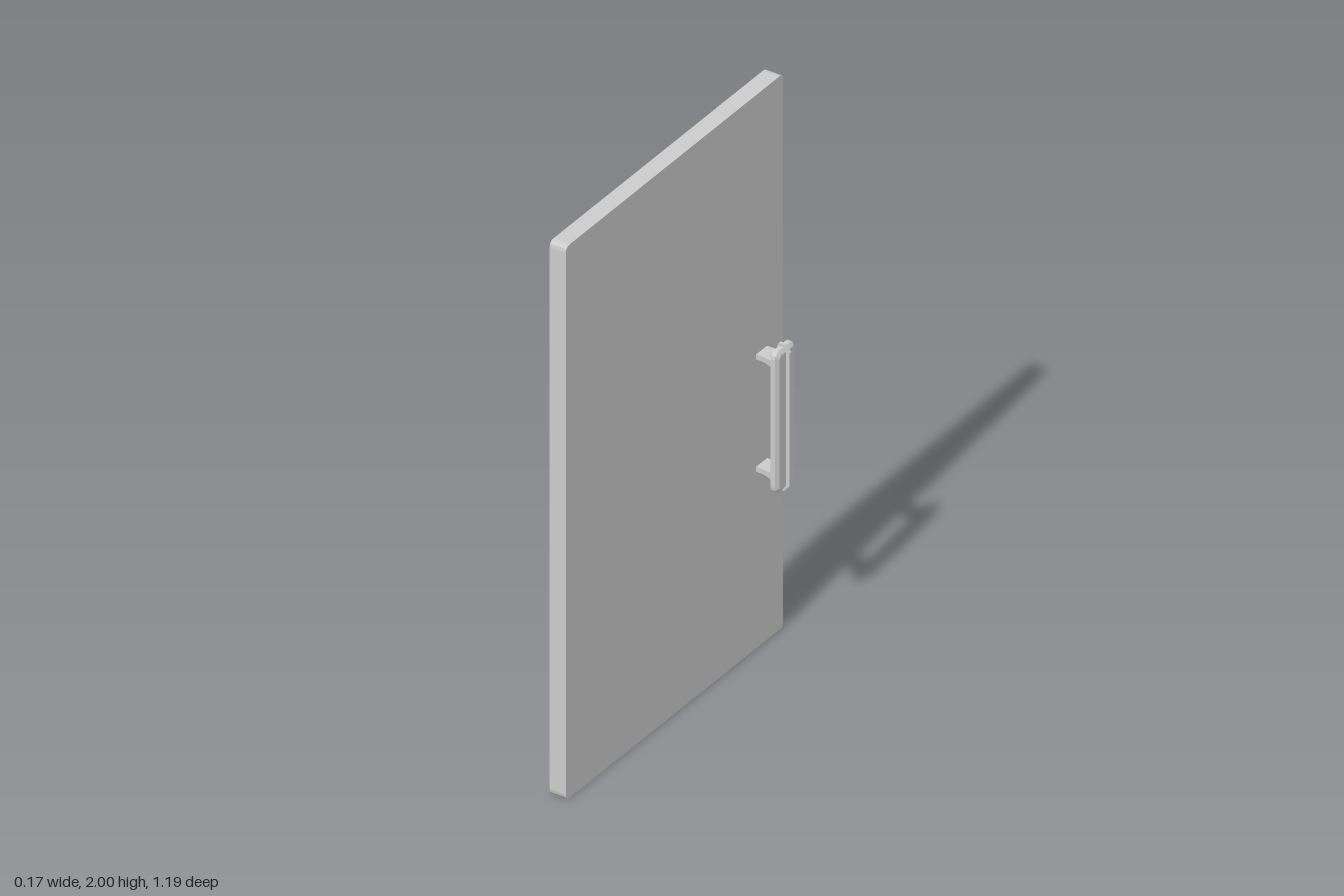
import * as THREE from 'three';

const material = new THREE.MeshStandardMaterial({ color: 0xcccccc, flatShading: true });
const HANDLE_Y = 0.85, HANDLE_Z = -0.477;

// Rectangle with rounded corners, centred on the origin
function roundedRect(w, h, r) {
  const x = w / 2, y = h / 2, s = new THREE.Shape();
  s.moveTo(-x + r, -y);
  s.lineTo(x - r, -y).quadraticCurveTo(x, -y, x, -y + r);
  s.lineTo(x, y - r).quadraticCurveTo(x, y, x - r, y);
  s.lineTo(-x + r, y).quadraticCurveTo(-x, y, -x, y - r);
  s.lineTo(-x, -y + r).quadraticCurveTo(-x, -y, -x + r, -y);
  return s;
}

function addPart(group, name, geometry, x, y, z) {
  const mesh = new THREE.Mesh(geometry, material);
  mesh.name = name;
  mesh.position.set(x, y, z);
  group.add(mesh);
}

// Mounting post: a slim block that flares where it meets the grip
function postGeometry() {
  const length = 0.066;
  const g = new THREE.BoxGeometry(length, 0.018, 0.06, 4, 1, 1);
  const p = g.attributes.position;
  for (let i = 0; i < p.count; i++) {
    const t = p.getX(i) / length + 0.5;
    const flare = 1 + 0.35 * Math.max(0, (t - 0.4) / 0.6) ** 1.5;
    p.setY(i, p.getY(i) * flare);
    p.setZ(i, p.getZ(i) * flare);
  }
  g.computeVertexNormals();
  return g;
}

export function createModel() {
  const model = new THREE.Group();
  model.name = 'door';

  // Door panel with small rounded corners
  const panel = new THREE.ExtrudeGeometry(roundedRect(1.19, 2, 0.02), {
    depth: 0.06, bevelEnabled: false, curveSegments: 3,
  });
  panel.rotateY(Math.PI / 2);
  addPart(model, 'doorPanel', panel, -0.084, 1, 0);

  const handle = new THREE.Group();
  handle.name = 'handle';
  handle.position.set(0, HANDLE_Y, HANDLE_Z);
  model.add(handle);

  // Grip: rounded bar bevelled on both faces
  const grip = new THREE.ExtrudeGeometry(roundedRect(0.08, 0.484, 0.012), {
    depth: 0.016, bevelThickness: 0.009, bevelSize: 0.013, bevelSegments: 1, curveSegments: 3,
  });
  grip.rotateY(Math.PI / 2);
  addPart(handle, 'grip', grip, 0.044, 0, 0);

  // Thin rib running round the middle of the grip
  const rib = new THREE.Shape([
    [0.035, -0.25], [0.042, -0.264], [0.062, -0.264], [0.082, -0.24],
    [0.082, 0.24], [0.062, 0.264], [0.042, 0.264], [0.035, 0.25],
  ].map(([x, y]) => new THREE.Vector2(x, y)));
  const ribGeometry = new THREE.ExtrudeGeometry(rib, { depth: 0.01, bevelEnabled: false });
  addPart(handle, 'gripRib', ribGeometry, 0, 0, -0.005);

  // Two mounting posts
  for (const [name, y] of [['upperPost', 0.203], ['lowerPost', -0.203]]) {
    addPart(handle, name, postGeometry(), 0.007, y, 0);
  }
  return model;
}
